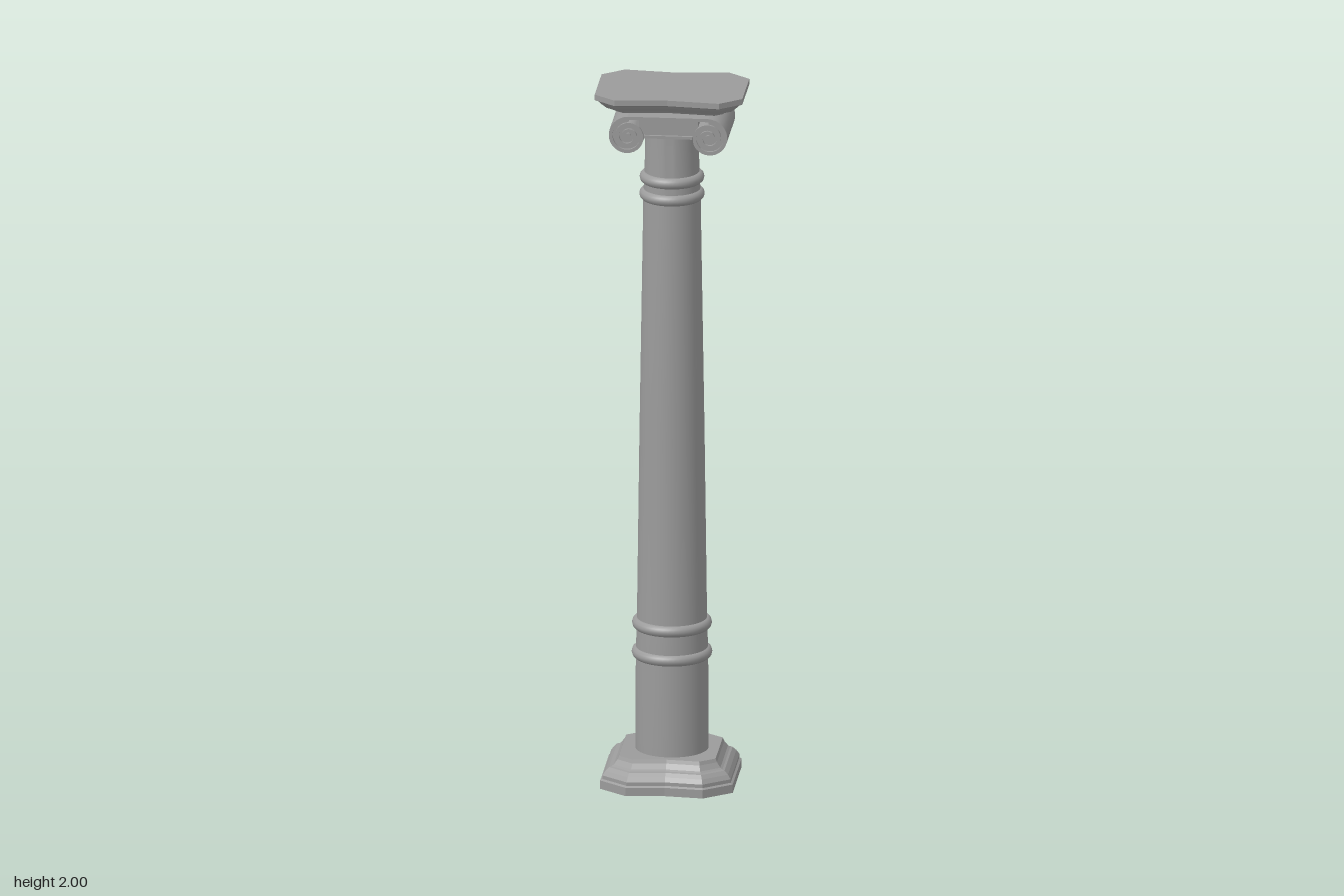
import * as THREE from 'three';
import { toCreasedNormals } from 'three/addons/utils/BufferGeometryUtils.js';

const material = new THREE.MeshStandardMaterial({ color: 0x9b9b9b });

function addMesh(parent, name, geometry) {
  const mesh = new THREE.Mesh(geometry, material);
  mesh.name = name;
  parent.add(mesh);
  return mesh;
}

// Eight cut corners plus a notch in the middle of the front and back edges
function plinthOutline(cornerX, cornerZ, sideX, sideZ, notchZ) {
  return [
    [0, notchZ], [cornerX, cornerZ], [sideX, sideZ], [sideX, -sideZ], [cornerX, -cornerZ],
    [0, -notchZ], [-cornerX, -cornerZ], [-sideX, -sideZ], [-sideX, sideZ], [-cornerX, cornerZ],
  ];
}

// Move every corner inward along its mitre, so that all edges shift by the same distance
function insetOutline(outline, distance) {
  const n = outline.length;
  const normal = (i) => {
    const [ax, az] = outline[i % n], [bx, bz] = outline[(i + 1) % n];
    return new THREE.Vector2(az - bz, bx - ax).normalize();
  };
  return outline.map(([x, z], i) => {
    const a = normal(i + n - 1), b = normal(i);
    const k = distance / (1 + a.dot(b));
    return [x - (a.x + b.x) * k, z - (a.y + b.y) * k];
  });
}

// Stack inset copies of an outline along a moulding profile of [inset, y], capped at both ends
function moulding(outline, profile) {
  const pos = [];
  const n = outline.length;
  const rings = profile.map(([d, y]) => insetOutline(outline, d).map(([x, z]) => [x, y, z]));
  const bottom = rings[0];
  const top = rings[rings.length - 1];
  for (let i = 0; i < n; i++) {
    const k = (i + 1) % n;
    for (let j = 0; j < rings.length - 1; j++) {
      const a = rings[j][i], b = rings[j][k], c = rings[j + 1][k], d = rings[j + 1][i];
      pos.push(...a, ...b, ...c, ...a, ...c, ...d);
    }
    pos.push(0, bottom[0][1], 0, ...bottom[k], ...bottom[i]);
    pos.push(0, top[0][1], 0, ...top[i], ...top[k]);
  }
  const g = new THREE.BufferGeometry();
  g.setAttribute('position', new THREE.Float32BufferAttribute(pos, 3));
  g.computeVertexNormals();
  return g;
}

// Extrude a shape symmetrically about z = 0
function extrude(points, halfDepth) {
  const g = new THREE.ExtrudeGeometry(new THREE.Shape(points), { depth: 2 * halfDepth, bevelEnabled: false });
  g.translate(0, 0, -halfDepth);
  return toCreasedNormals(g, 0.6);
}

const SCROLL = { x: 0.112, y: 1.886, r: 0.057, pitch: 0.018, turns: 2.4 };

// Points along a spiral that starts at the top and winds outward, down and in
function spiral(side, inset, turns) {
  const pts = [];
  const steps = Math.round(turns * 32);
  for (let i = 0; i <= steps; i++) {
    const t = (i / steps) * turns;
    const r = SCROLL.r - SCROLL.pitch * t - inset;
    const a = t * Math.PI * 2;
    pts.push(new THREE.Vector2(side * (SCROLL.x + Math.sin(a) * r), SCROLL.y + Math.cos(a) * r));
  }
  return pts;
}

export function createModel() {
  const model = new THREE.Group();
  model.name = 'column';

  // Stepped base
  const base = addMesh(model, 'base', moulding(
    plinthOutline(0.107, 0.183, 0.184, 0.122, 0.172),
    [[0, 0], [0, 0.024], [0.006, 0.028], [0.006, 0.038], [0.014, 0.05], [0.024, 0.06],
      [0.03, 0.062], [0.036, 0.066], [0.046, 0.08], [0.05, 0.09]]));
  base.position.x = -0.003;

  // Tapered shaft
  const shaftProfile = [[0, 0.08], [0.101, 0.08], [0.1, 0.37], [0.097, 0.46], [0.09, 1.0],
    [0.079, 1.7], [0.076, 1.75], [0.073, 1.92], [0, 1.92]].map(([r, y]) => new THREE.Vector2(r, y));
  addMesh(model, 'shaft', toCreasedNormals(new THREE.LatheGeometry(shaftProfile, 48), 0.6));

  // Paired rings near the foot and the top
  for (const [name, y, r] of [['lowerRing', 0.368, 0.095], ['lowerRing', 0.452, 0.094],
    ['upperRing', 1.693, 0.074], ['upperRing', 1.742, 0.073]]) {
    const ring = new THREE.TorusGeometry(r, 0.0165, 12, 48);
    ring.rotateX(Math.PI / 2);
    addMesh(model, name, ring).position.y = y;
  }

  // Scroll capital: recessed cushion with raised lips
  const capital = new THREE.Group();
  capital.name = 'capital';
  model.add(capital);
  const bar = (name, y0, y1, halfX, halfZ) => {
    const g = new THREE.BoxGeometry(2 * halfX, y1 - y0, 2 * halfZ);
    addMesh(capital, name, g).position.y = (y0 + y1) / 2;
  };
  bar('cushion', 1.885, 1.942, SCROLL.x - 0.03, 0.1);
  bar('cushionTopLip', 1.934, 1.943, SCROLL.x, 0.108);
  bar('cushionLowerLip', 1.882, 1.89, SCROLL.x - 0.045, 0.108);
  bar('neckBlock', 1.935, 1.955, 0.1, 0.042);

  for (const side of [-1, 1]) {
    const scroll = new THREE.Group();
    scroll.name = side > 0 ? 'leftScroll' : 'rightScroll';
    capital.add(scroll);
    addMesh(scroll, 'scrollBody', extrude(spiral(side, 0.003, 1), 0.1));
    const ridge = [...spiral(side, 0, SCROLL.turns), ...spiral(side, 0.01, SCROLL.turns).reverse()];
    addMesh(scroll, 'scrollRidge', extrude(ridge, 0.108));
    const eye = new THREE.CylinderGeometry(0.009, 0.009, 0.216, 20);
    eye.rotateX(Math.PI / 2);
    addMesh(scroll, 'scrollEye', eye).position.set(side * SCROLL.x, SCROLL.y, 0);
  }

  // Top slab with a moulded underside
  addMesh(model, 'topSlab', moulding(
    plinthOutline(0.145, 0.145, 0.205, 0.094, 0.13),
    [[0.055, 1.947], [0.05, 1.954], [0.032, 1.958], [0.016, 1.972], [0.01, 1.979], [0, 1.984], [0, 2]]));

  return model;
}
